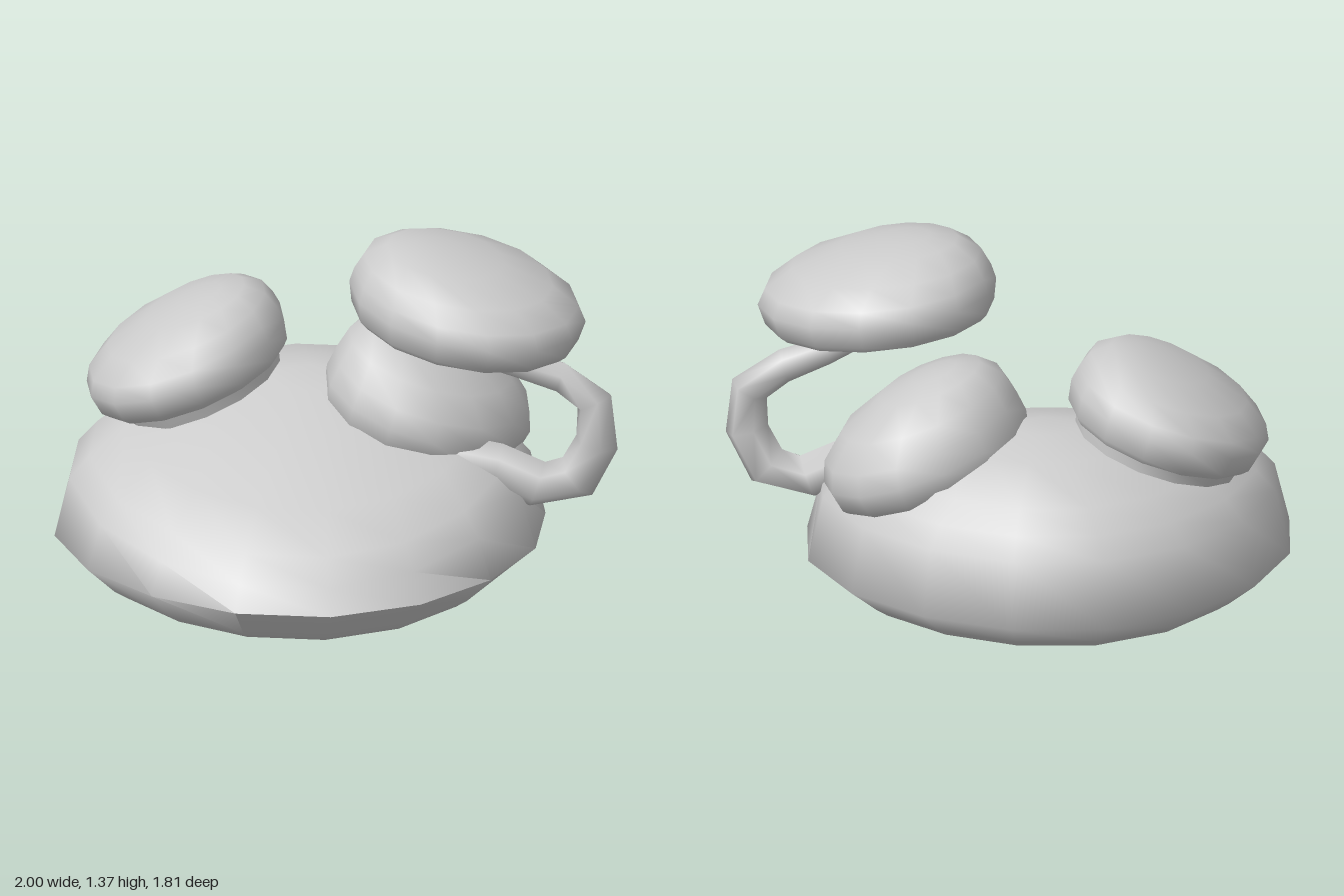
import * as THREE from 'three';
import { mergeVertices, toCreasedNormals } from 'three/addons/utils/BufferGeometryUtils.js';

const material = new THREE.MeshStandardMaterial({ color: 0xcccccc, side: THREE.DoubleSide });
const UP = new THREE.Vector3(0, 1, 0);

function mesh(name, geometry) {
  const m = new THREE.Mesh(geometry, material);
  m.name = name;
  return m;
}

// Lathed cap, with every vertex moved by a rule, then smoothed across the seam
function capGeometry(profile, sides, rule) {
  let g = new THREE.LatheGeometry(profile.map(([r, y]) => new THREE.Vector2(r, y)), sides);
  const p = g.attributes.position;
  const v = new THREE.Vector3();
  for (let i = 0; i < p.count; i++) {
    rule(v.fromBufferAttribute(p, i), i % profile.length);
    p.setXYZ(i, v.x, v.y, v.z);
  }
  g.deleteAttribute('uv');
  g.deleteAttribute('normal');
  g = mergeVertices(g, 1e-4);
  return toCreasedNormals(g, 1.2);
}

// Profiles run from the hollow underside, round the lip and rim, to the crown
const bigHollow = [[0, 0.56], [0.3, 0.5], [0.55, 0.34], [0.65, 0.14], [0.68, 0.08]];
const bigShell = [
  [0.7, 0.05], [0.74, 0.05], [0.79, 0.085], [0.905, 0.18], [0.85, 0.43], [0.78, 0.51],
  [0.66, 0.6], [0.38, 0.7], [0.16, 0.74], [0, 0.75],
];
const smallRim = [[0.86, -0.09], [0.9, -0.105], [0.96, -0.08], [1, 0]];
const smallCrown = [[0.95, 0.28], [0.8, 0.6], [0.5, 0.88], [0.22, 0.98], [0, 1]]; // share of crown height

// Small cap tilted along a normal, its crown leaning off centre and a lip hanging below
function smallCap(name, { center, normal, rx, rz, yaw, crown, lean, lip }) {
  const hollow = [[0, 0.06], [0.3, 0.04], [0.6, -0.03], [0.75, -lip], [0.82, -lip]];
  const profile = [...hollow, ...smallRim, ...smallCrown.map(([r, y]) => [r, y * crown])];
  const g = capGeometry(profile, 14, (v, ring) => {
    v.set(v.x * rx, v.y, v.z * rz).applyAxisAngle(UP, yaw);
    if (ring >= hollow.length && v.y > 0) {
      const t = (v.y / crown) ** 2;
      v.x += lean[0] * t;
      v.z += lean[1] * t;
    }
  });
  const cap = mesh(name, g);
  cap.position.set(...center);
  cap.quaternion.setFromUnitVectors(UP, new THREE.Vector3(...normal).normalize());
  return cap;
}

// Six-sided straight stem between two points
function straightStem(name, from, to, r0, r1) {
  const a = new THREE.Vector3(...from), b = new THREE.Vector3(...to);
  const d = b.clone().sub(a);
  const g = toCreasedNormals(new THREE.CylinderGeometry(r1, r0, d.length(), 6).rotateY(Math.PI / 12), 1.2);
  const stem = mesh(name, g);
  stem.position.copy(a).add(b).multiplyScalar(0.5);
  stem.quaternion.setFromUnitVectors(UP, d.normalize());
  return stem;
}

// Tapered tube along a bent path
function bentStem(name, points, r0, r1) {
  const n = 10, sides = 6;
  const curve = new THREE.CatmullRomCurve3(points.map((p) => new THREE.Vector3(...p)), false, 'centripetal');
  const g = new THREE.TubeGeometry(curve, n, 1, sides, false);
  const p = g.attributes.position;
  const v = new THREE.Vector3();
  for (let i = 0; i < p.count; i++) {
    const t = Math.floor(i / (sides + 1)) / n;
    const c = curve.getPointAt(t);
    v.fromBufferAttribute(p, i).sub(c).multiplyScalar(r0 + (r1 - r0) * Math.min(1, t * 1.5)).add(c);
    p.setXYZ(i, v.x, v.y, v.z);
  }
  return mesh(name, g);
}

export function createModel() {
  const group = new THREE.Group();

  // Main cap: squarish outline, crown set back, drooping at the front left
  const bigProfile = [...bigHollow, ...bigShell];
  group.add(mesh('mainCap', capGeometry(bigProfile, 16, (v, ring) => {
    const y = v.y;
    const shell = ring >= bigHollow.length;
    const square = 1 + 0.025 * Math.sin(2 * Math.atan2(v.z, v.x)) ** 2;
    const droop = Math.max(0, v.x * 0.6 + v.z * 0.8);
    v.x = v.x * square - 0.095;
    v.z *= square;
    if (shell && y > 0.3) {
      const t = Math.max(0, (y - 0.5) / 0.25);
      v.x -= 0.08 * t;
      v.z -= 0.17 * t;
      v.y -= droop * 0.22;
    } else {
      v.y -= droop * (y < 0.15 ? 0.07 : 0.03);
    }
  })));
  group.add(straightStem('mainStem', [-0.1, 0.08, 0], [-0.1, 0.56, 0], 0.165, 0.165));

  // Caps growing directly on the main cap
  group.add(smallCap('rightCap', {
    center: [-0.585, 0.785, 0.07], normal: [-0.28, 1, 0.22],
    rx: 0.39, rz: 0.445, yaw: 0.35, crown: 0.2, lean: [0.11, -0.07], lip: 0.155,
  }));
  group.add(straightStem('rightCapStem', [-0.5, 0.5, 0], [-0.58, 0.82, 0.06], 0.14, 0.12));
  group.add(smallCap('backCap', {
    center: [0.205, 0.635, -0.4], normal: [0.32, 1, -0.15],
    rx: 0.385, rz: 0.43, yaw: -0.1, crown: 0.28, lean: [-0.13, 0.05], lip: 0.155,
  }));
  group.add(straightStem('backCapStem', [0.15, 0.4, -0.34], [0.2, 0.7, -0.4], 0.14, 0.12));

  // Raised cap on a curled stem
  group.add(smallCap('raisedCap', {
    center: [0.51, 1.14, -0.245], normal: [0.14, 1, -0.02],
    rx: 0.47, rz: 0.42, yaw: -0.1, crown: 0.205, lean: [-0.11, 0.08], lip: 0.115,
  }));
  group.add(bentStem('curledStem', [
    [0.44, 1.18, -0.06], [0.51, 1.02, -0.11], [0.59, 0.94, -0.24], [0.75, 0.865, -0.4], [0.88, 0.8, -0.49],
    [0.93, 0.68, -0.51], [0.87, 0.47, -0.49], [0.75, 0.4, -0.43], [0.6, 0.47, -0.33], [0.45, 0.5, -0.24],
  ], 0.025, 0.09));

  return group;
}
